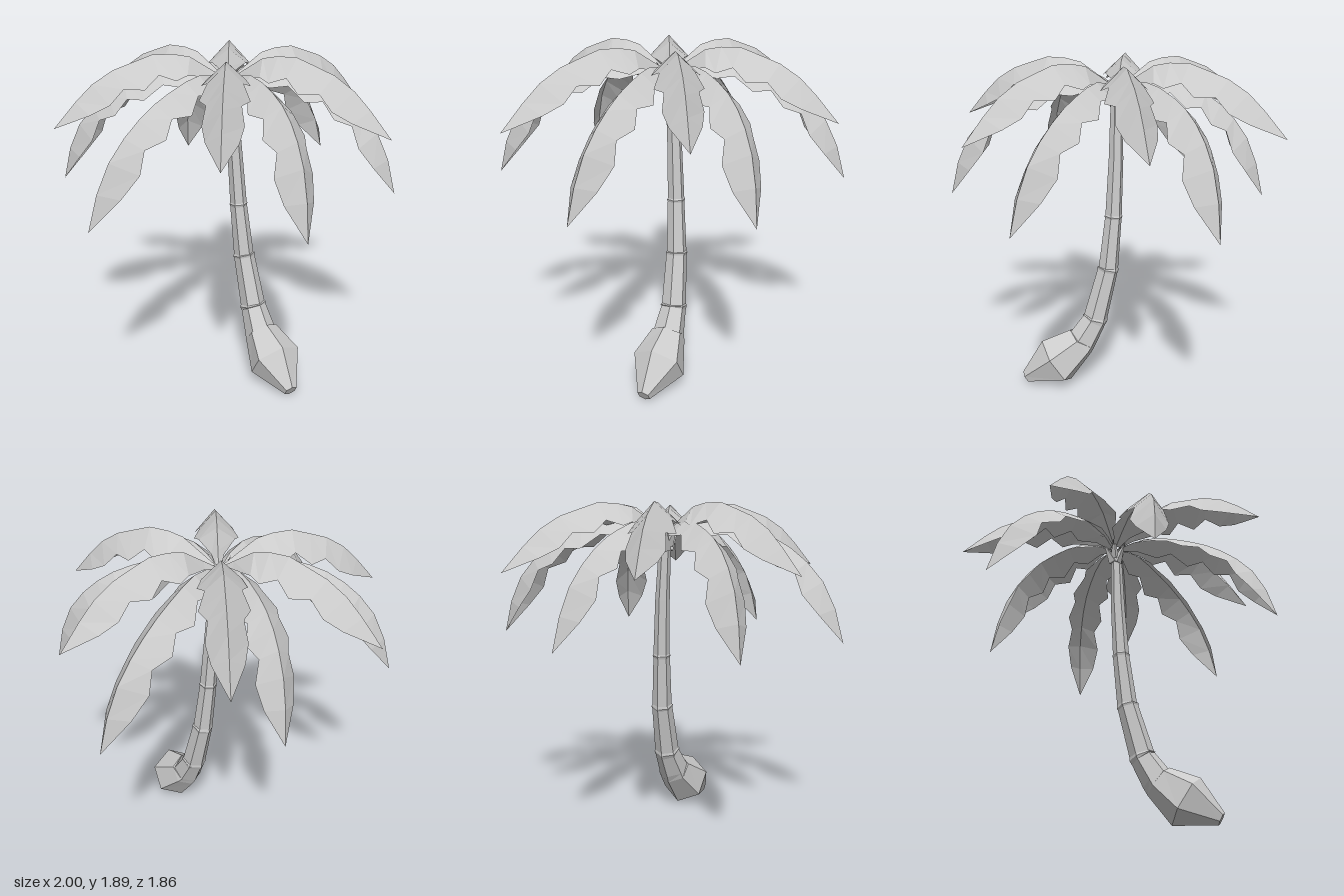
import * as THREE from 'three';

const material = new THREE.MeshStandardMaterial({ color: 0xcccccc, flatShading: true, side: THREE.DoubleSide });

// Skins a list of equally long point rows with quads; closed joins the row ends and caps them.
function loft(rows, closed) {
  const n = rows[0].length, index = [];
  for (let i = 0; i < rows.length - 1; i++) {
    for (let j = 0; j < (closed ? n : n - 1); j++) {
      const a = i * n + j, b = i * n + (j + 1) % n;
      index.push(a, b, a + n, b, b + n, a + n);
    }
  }
  if (closed) {
    const last = (rows.length - 1) * n;
    for (let j = 1; j < n - 1; j++) index.push(0, j + 1, j, last, last + j, last + j + 1);
  }
  const indexed = new THREE.BufferGeometry().setFromPoints(rows.flat());
  indexed.setIndex(index);
  const geometry = indexed.toNonIndexed();
  geometry.computeVertexNormals();
  return geometry;
}

function addMesh(parent, name, geometry) {
  const mesh = new THREE.Mesh(geometry, material);
  mesh.name = name;
  parent.add(mesh);
  return mesh;
}

// Ridge radius, ridge height, half width and edge drop along each kind of frond
const UPPER = [
  [0.02, 1.75, 0.015, 0.01], [0.09, 1.795, 0.035, 0.035], [0.21, 1.872, 0.1, 0.09], [0.3, 1.89, 0.125, 0.12],
  [0.41, 1.892, 0.09, 0.095], [0.52, 1.855, 0.125, 0.13], [0.62, 1.82, 0.085, 0.095], [0.73, 1.752, 0.1, 0.12],
  [0.82, 1.665, 0.078, 0.085], [0.94, 1.53, 0, 0],
];
const LOWER = [
  [0.03, 1.74, 0.02, 0.01], [0.12, 1.78, 0.05, 0.04], [0.25, 1.8, 0.1, 0.085], [0.36, 1.785, 0.075, 0.065],
  [0.48, 1.75, 0.12, 0.11], [0.58, 1.71, 0.085, 0.075], [0.68, 1.65, 0.115, 0.115], [0.77, 1.575, 0.08, 0.08],
  [0.86, 1.47, 0.105, 0.12], [0.93, 1.325, 0.08, 0.085], [0.98, 1.14, 0, 0],
];

// Folded frond from the crown to the tip, bowed sideways
function frond(profile, tipX, tipZ, bow) {
  const reach = Math.hypot(tipX, tipZ), scale = reach / profile.at(-1)[0];
  const dx = tipX / reach, dz = tipZ / reach;
  const rows = profile.map(([r, y, w, d], i) => {
    const before = profile[Math.max(i - 1, 0)], after = profile[Math.min(i + 1, profile.length - 1)];
    const tangent = new THREE.Vector2(after[0] - before[0], after[1] - before[1]).normalize();
    const shift = bow * Math.sin(Math.PI * i / (profile.length - 1));
    return [-1, 0, 1].map((side) => {
      const drop = side ? d : 0;
      const along = (r + tangent.y * drop) * scale, across = side * w + shift;
      return new THREE.Vector3(dx * along + dz * across, y - tangent.x * drop, dz * along - dx * across);
    });
  });
  return loft(rows, false);
}

// Trunk stations from the root: x, y, z, radius, with a lip at each joint
const TRUNK = [
  [-0.085, 0.035, 0.565, 0.038], [-0.02, 0.137, 0.392, 0.154], [0.02, 0.252, 0.25, 0.1],
  [0.022, 0.266, 0.238, 0.09], [0.042, 0.385, 0.17, 0.074], [0.042, 0.4, 0.165, 0.079],
  [0.043, 0.41, 0.161, 0.072], [0.05, 0.69, 0.086, 0.061], [0.05, 0.703, 0.083, 0.065],
  [0.05, 0.712, 0.08, 0.058], [0.042, 1.005, 0.045, 0.049], [0.042, 1.018, 0.044, 0.053],
  [0.042, 1.027, 0.043, 0.048], [0.03, 1.35, 0.022, 0.042], [0.012, 1.66, 0.01, 0.034], [0.005, 1.73, 0.005, 0.03],
];

function trunk(sides) {
  const centres = TRUNK.map(([x, y, z]) => new THREE.Vector3(x, y, z));
  const rows = TRUNK.map(([, , , radius], i) => {
    const tangent = centres[Math.min(i + 1, centres.length - 1)].clone()
      .sub(centres[Math.max(i - 1, 0)]).normalize();
    const back = new THREE.Vector3(1, 0, 0).cross(tangent).normalize();
    const right = tangent.clone().cross(back);
    return Array.from({ length: sides }, (_, j) => {
      const angle = 2 * Math.PI * (j + 0.3) / sides;
      const point = centres[i].clone().addScaledVector(right, radius * Math.cos(angle))
        .addScaledVector(back, -radius * Math.sin(angle));
      point.y = Math.max(point.y, 0);
      return point;
    });
  });
  // Rest the root on the ground
  const low = Math.min(...rows.flat().map((p) => p.y));
  rows[0].forEach((p) => { p.y -= low; });
  return loft(rows.map((row) => row.reverse()), true);
}

export function createModel() {
  const model = new THREE.Group();
  model.name = 'palmTree';
  addMesh(model, 'trunk', trunk(6));

  // Two tiers of fronds: tip x, tip z and sideways bow
  const upperTips = [
    [0.9, 0.26, -0.015], [0.19, 0.925, 0], [-0.76, 0.65, 0], [-0.81, -0.495, 0], [-0.11, -0.93, 0], [0.71, -0.63, 0],
  ];
  const lowerTips = [
    [0.995, -0.065, 0.055], [0.495, 0.795, 0.05], [-0.395, 0.865, 0.045],
    [-1, 0, 0.055], [-0.57, -0.78, 0.035], [0.395, -0.725, 0.04],
  ];
  const fronds = new THREE.Group();
  fronds.name = 'fronds';
  model.add(fronds);
  upperTips.forEach((tip) => addMesh(fronds, 'upperFrond', frond(UPPER, ...tip)));
  lowerTips.forEach((tip) => addMesh(fronds, 'lowerFrond', frond(LOWER, ...tip)));

  // Short leaf stubs around the crown
  for (let i = 0; i < 6; i++) {
    const angle = i * Math.PI / 3 + 0.3;
    const stub = addMesh(model, 'crownStub', new THREE.ConeGeometry(0.03, 0.14, 4));
    stub.position.set(0.045 * Math.cos(angle), 1.7 + 0.025 * (i % 2), 0.045 * Math.sin(angle));
    stub.rotation.set(0.5 * Math.sin(angle), 0, -0.5 * Math.cos(angle));
  }
  return model;
}
